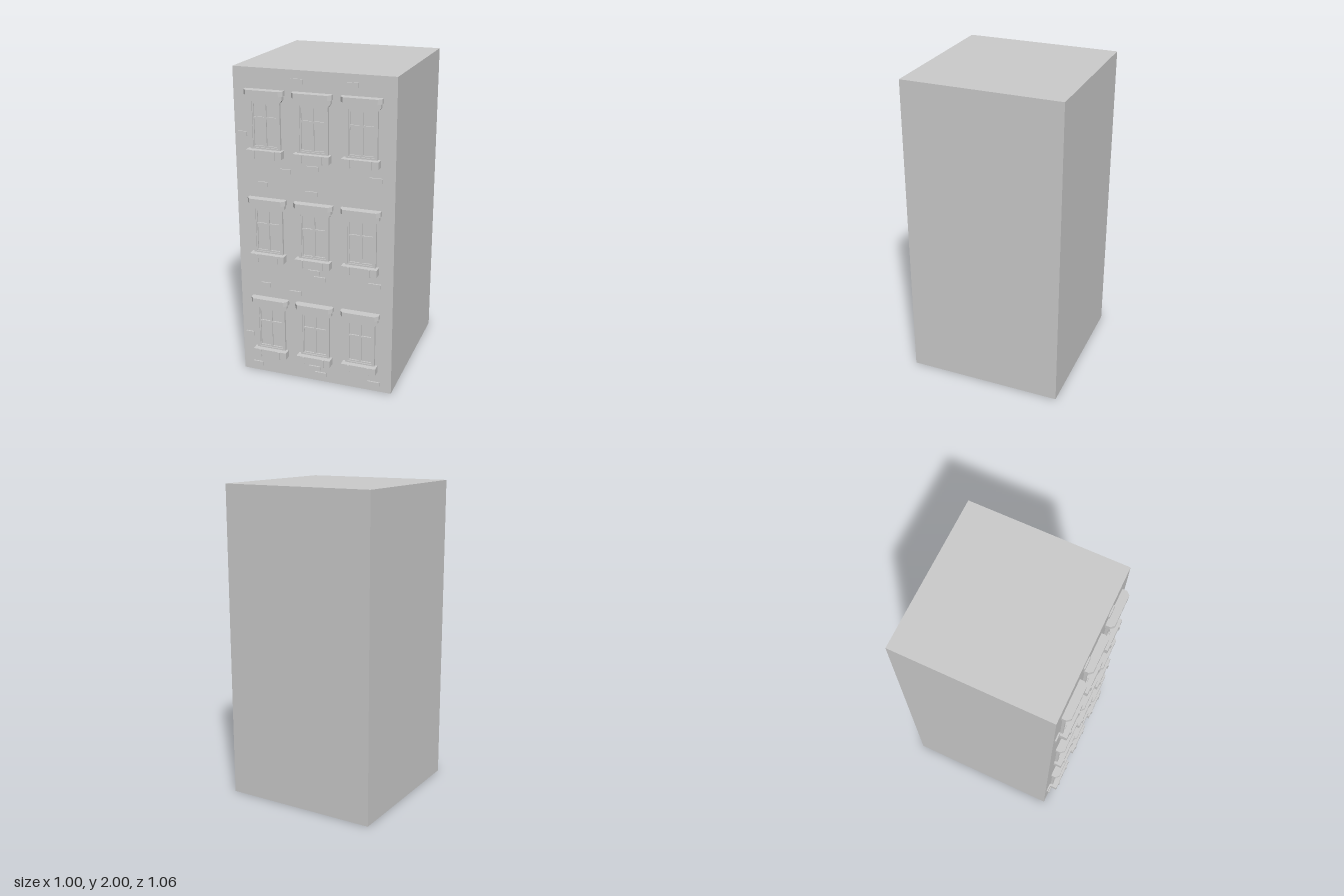
import * as THREE from 'three';

const material = new THREE.MeshStandardMaterial({ color: 0xcccccc, flatShading: true });
const WALL = 0.47; // z of the front wall

function add(parent, name, geometry) {
  const mesh = new THREE.Mesh(geometry, material);
  mesh.name = name;
  parent.add(mesh);
  return mesh;
}

function box(parent, name, x0, x1, y0, y1, z0, z1) {
  const mesh = add(parent, name, new THREE.BoxGeometry(x1 - x0, y1 - y0, z1 - z0));
  mesh.position.set((x0 + x1) / 2, (y0 + y1) / 2, (z0 + z1) / 2);
  return mesh;
}

const polygon = (points) => points.map(([x, y]) => new THREE.Vector2(x, y));
const rect = (x0, x1, y0, y1) => polygon([[x0, y0], [x1, y0], [x1, y1], [x0, y1]]);

// Flat panel standing on the wall, with rectangular openings
function panel(parent, name, outline, holes, depth) {
  const shape = new THREE.Shape(outline);
  holes.forEach((h) => shape.holes.push(new THREE.Path(h)));
  const mesh = add(parent, name, new THREE.ExtrudeGeometry(shape, { depth, bevelEnabled: false }));
  mesh.position.z = WALL;
}

// One window; y = 0 is the underside of its sill
function createWindow() {
  const g = new THREE.Group();
  g.name = 'window';

  // Surround and sash with two small panes above two tall ones
  panel(g, 'frame', rect(-0.096, 0.096, 0.04, 0.345), [rect(-0.08, 0.08, 0.055, 0.332)], 0.017);
  const panes = [];
  for (const [y0, y1] of [[0.064, 0.229], [0.24, 0.318]]) {
    panes.push(rect(-0.072, -0.007, y0, y1), rect(0.007, 0.072, y0, y1));
  }
  panel(g, 'sash', rect(-0.081, 0.081, 0.054, 0.333), panes, 0.011);
  box(g, 'glass', -0.08, 0.08, 0.055, 0.332, WALL - 0.01, WALL + 0.002);

  // Sill with two small brackets
  box(g, 'sill', -0.112, 0.112, 0, 0.046, WALL - 0.01, 0.52);
  for (const s of [-1, 1]) {
    box(g, 'sillBracket', s * 0.064 - 0.007, s * 0.064 + 0.007, -0.005, 0.046, WALL - 0.01, 0.526);
  }

  // Frieze with clipped lower corners
  panel(g, 'frieze', polygon([
    [-0.102, 0.335], [0.102, 0.335], [0.115, 0.35], [0.115, 0.376], [-0.115, 0.376], [-0.115, 0.35],
  ]), [], 0.027);

  // Cornice: plan outline with chamfered front corners
  const plan = new THREE.Shape(polygon([
    [-0.123, -WALL + 0.01], [-0.123, -0.498], [-0.103, -0.521],
    [0.103, -0.521], [0.123, -0.498], [0.123, -WALL + 0.01],
  ]));
  const cornice = new THREE.ExtrudeGeometry(plan, { depth: 0.03, bevelEnabled: false });
  cornice.rotateX(-Math.PI / 2);
  add(g, 'cornice', cornice).position.y = 0.375;
  return g;
}

export function createModel() {
  const model = new THREE.Group();
  model.name = 'apartmentBuilding';
  box(model, 'buildingBlock', -0.5, 0.5, 0, 2, -0.53, WALL);

  // Three storeys of three windows
  for (let row = 0; row < 3; row++) {
    for (let col = -1; col <= 1; col++) {
      const w = createWindow();
      w.position.set(col * 0.298, 0.137 + row * 0.667, 0);
      model.add(w);
    }
  }

  // Scattered raised bricks: centre x, centre y, width
  const bricks = [
    [-0.1, 1.936, 0.077], [0.235, 1.938, 0.077], [-0.449, 1.6, 0.055],
    [-0.005, 1.424, 0.077], [-0.18, 1.389, 0.067], [0.385, 1.393, 0.08],
    [-0.328, 1.295, 0.064], [-0.015, 1.267, 0.077],
    [-0.005, 0.758, 0.077], [0.033, 0.718, 0.077], [0.385, 0.726, 0.08],
    [-0.328, 0.628, 0.064], [-0.13, 0.599, 0.077], [-0.449, 0.264, 0.055],
    [-0.005, 0.089, 0.077], [0.033, 0.05, 0.077], [-0.399, 0.052, 0.067], [0.385, 0.052, 0.08],
  ];
  for (const [x, y, w] of bricks) {
    box(model, 'brick', x - w / 2, x + w / 2, y - 0.0145, y + 0.0145, WALL - 0.01, 0.479);
  }
  return model;
}
